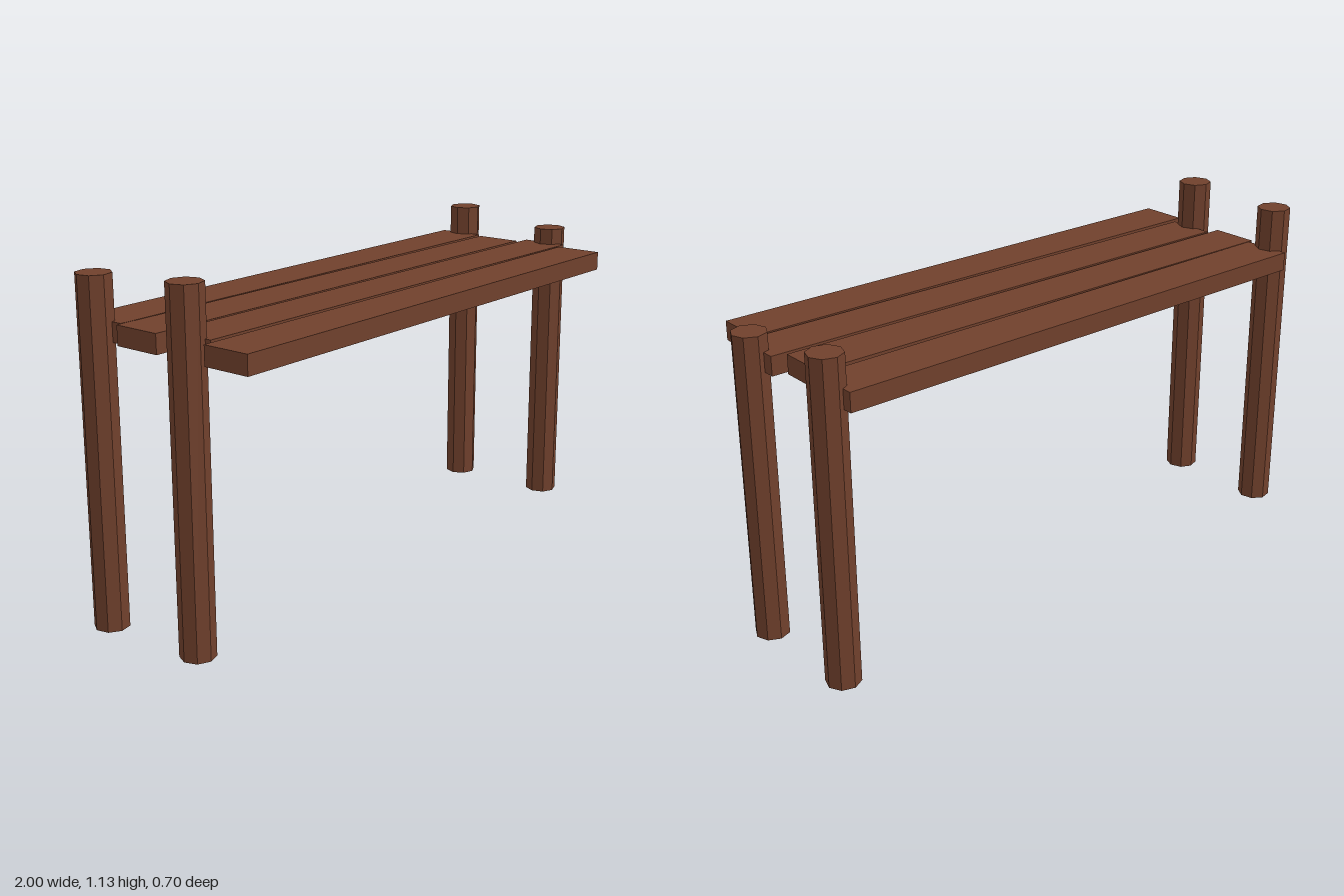
import * as THREE from 'three';

export function createModel() {
  const group = new THREE.Group();
  const wood = new THREE.MeshStandardMaterial({ color: 0x70402c, flatShading: true });
  wood.name = 'brown wood';

  const add = (name, geometry, x, y, z, turn) => {
    const mesh = new THREE.Mesh(geometry, wood);
    mesh.name = name;
    mesh.position.set(x, y, z);
    mesh.rotation.y = turn;
    group.add(mesh);
  };

  // Eight-sided posts, each a little different: name, x, z, height, turn
  const posts = [
    ['frontLeftPost', 0.944, 0.1, 1.025, -0.05],
    ['backLeftPost', 0.925, -0.27, 1.07, 0.08],
    ['frontRightPost', -0.928, 0.098, 1.132, -0.04],
    ['backRightPost', -0.945, -0.26, 1.113, -0.17],
  ];
  for (const [name, x, z, height, turn] of posts) {
    add(name, new THREE.CylinderGeometry(0.056, 0.056, height, 8), x, height / 2, z, turn);
  }

  // Tabletop planks laid slightly askew: x, z, turn
  const planks = [
    [-0.012, -0.262, 0.007],
    [-0.03, -0.088, -0.002],
    [0.014, 0.0875, -0.005],
    [-0.033, 0.265, 0.001],
  ];
  const plankGeometry = new THREE.BoxGeometry(1.83, 0.063, 0.163);
  planks.forEach(([x, z, turn], i) => add(`plank${i + 1}`, plankGeometry, x, 0.938, z, turn));

  return group;
}
